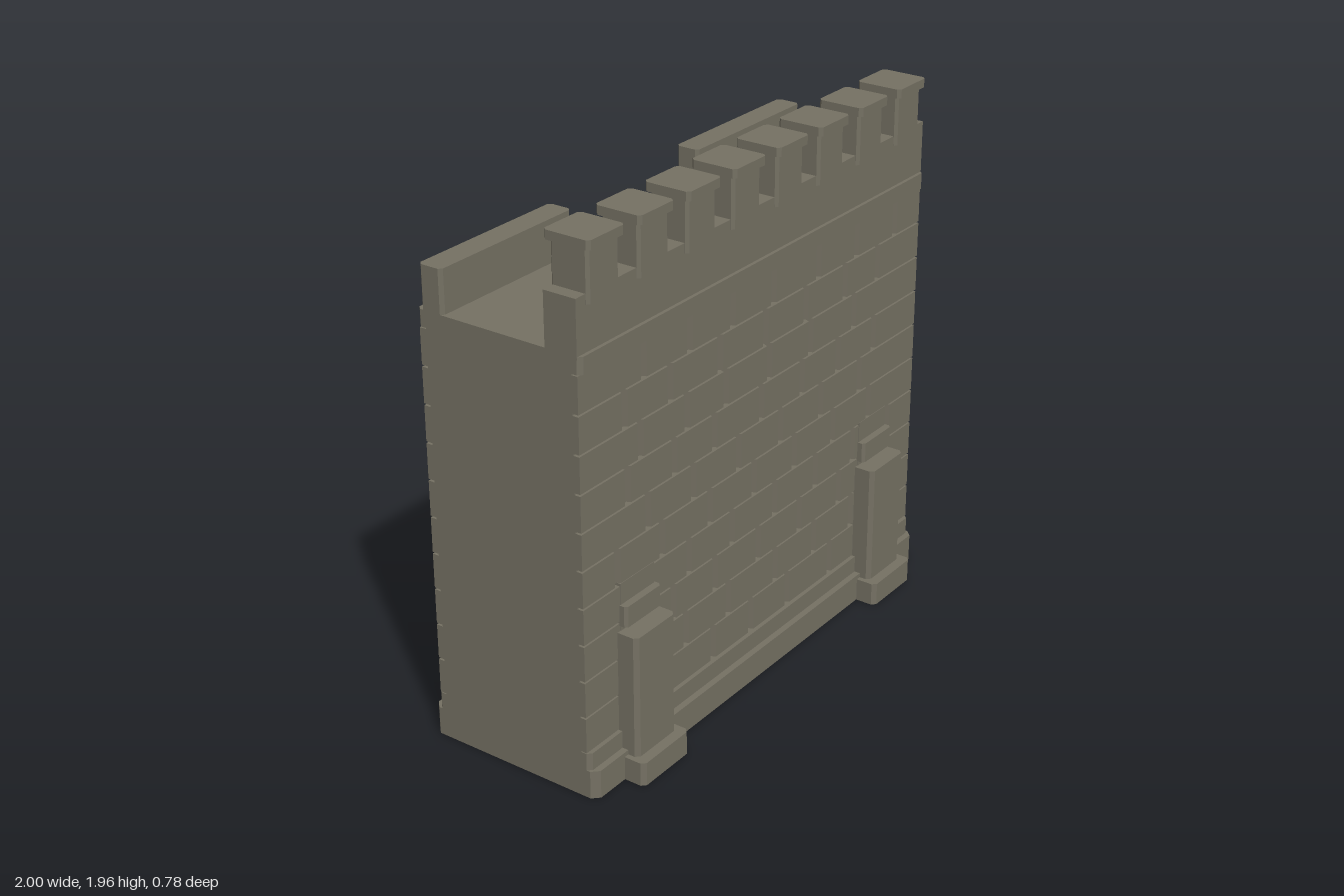
import * as THREE from 'three';

// Vertical prism from a footprint of [x, z] points
function prism(points, y0, y1) {
  const shape = new THREE.Shape(points.map(([x, z]) => new THREE.Vector2(x, -z)));
  const geo = new THREE.ExtrudeGeometry(shape, { depth: y1 - y0, bevelEnabled: false });
  geo.rotateX(-Math.PI / 2);
  geo.translate(0, y0, 0);
  return geo;
}

// Block with its four upright edges cut off by c
function block(x0, x1, y0, y1, z0, z1, c = 0) {
  if (!c) return prism([[x0, z0], [x1, z0], [x1, z1], [x0, z1]], y0, y1);
  return prism([
    [x0 + c, z0], [x1 - c, z0], [x1, z0 + c], [x1, z1 - c],
    [x1 - c, z1], [x0 + c, z1], [x0, z1 - c], [x0, z0 + c],
  ], y0, y1);
}

export function createModel() {
  const stone = new THREE.MeshStandardMaterial({ color: 0x757163 });
  stone.name = 'stone';
  const model = new THREE.Group();
  model.name = 'castleWall';
  const add = (name, geo, parent = model) => {
    const mesh = new THREE.Mesh(geo, stone);
    mesh.name = name;
    parent.add(mesh);
    return mesh;
  };

  // Main mass, plinth and walkway slab
  add('wallCore', block(-1, 1, 0.1, 1.56, -0.329, 0.254));
  add('plinth', block(-1, 1, 0, 0.105, -0.391, 0.314, 0.025));
  add('plinthStep', block(-1, 1, 0.105, 0.17, -0.367, 0.29, 0.015));
  add('walkwaySlab', block(-1, 1, 1.53, 1.59, -0.365, 0.29, 0.015));

  // Brick courses: x positions of the upright joints, bottom row first
  const joints = [
    [-0.78, -0.54, -0.29, -0.06, 0.17, 0.45, 0.7],
    [-0.7, -0.45, -0.2, 0.09, 0.34, 0.59, 0.83],
    [-0.77, -0.52, -0.28, -0.02, 0.24, 0.5, 0.75],
    [-0.67, -0.43, -0.18, 0.08, 0.34, 0.59, 0.83],
    [-0.82, -0.58, -0.31, -0.05, 0.2, 0.45, 0.69],
    [-0.655, -0.405, -0.145, 0.11, 0.365, 0.62],
    [-0.76, -0.51, -0.285, -0.01, 0.24, 0.47, 0.71],
    [-0.69, -0.44, -0.22, 0.035, 0.29, 0.57],
    [-0.77, -0.53, -0.255, 0.01, 0.255, 0.505, 0.72],
    [-0.67, -0.425, -0.185, 0.055, 0.33, 0.575, 0.83],
  ];
  const rowHeight = 0.136;
  const buildBricks = (name, inner, outer) => {
    const group = new THREE.Group();
    group.name = name;
    joints.forEach((row, r) => {
      const y0 = 0.17 + r * rowHeight;
      const edges = [-1, ...row, 1];
      for (let i = 0; i < edges.length - 1; i++) {
        const a = edges[i], b = edges[i + 1];
        const la = i === 0 ? 0 : 1;
        const lb = i === edges.length - 2 ? 0 : 1;
        // Sides slope so the joint is wider at the face
        add('brick', prism([
          [a + la * 0.006, inner - 0.01], [b - lb * 0.006, inner - 0.01],
          [b - lb * 0.006, inner], [b - lb * 0.016, outer],
          [a + la * 0.016, outer], [a + la * 0.006, inner],
        ], y0 + 0.003, y0 + rowHeight - 0.004), group);
      }
    });
    model.add(group);
    return group;
  };
  buildBricks('frontBricks', 0.254, 0.277);
  buildBricks('backBricks', 0.329, 0.355).rotation.y = Math.PI;

  // Front parapet with capped merlons
  add('frontParapet', block(-1, 1, 1.58, 1.78, 0.153, 0.277));
  for (let i = 0; i < 8; i++) {
    const x = (i - 3.5) * 0.25;
    add('merlon', block(x - 0.077, x + 0.077, 1.745, 1.93, 0.142, 0.288, 0.01));
    add('merlonCap', block(x - 0.089, x + 0.089, 1.925, 1.957, 0.127, 0.303, 0.012));
  }

  // Two low rear parapets with an opening between
  add('rearParapetRight', block(-1, -0.355, 1.58, 1.745, -0.348, -0.255, 0.012));
  add('rearParapetLeft', block(0.355, 1, 1.58, 1.745, -0.348, -0.255, 0.012));

  // Stepped buttresses on the front
  for (const side of [-1, 1]) {
    const buttress = new THREE.Group();
    buttress.name = side < 0 ? 'rightButtress' : 'leftButtress';
    const x = side * 0.72;
    add('buttressFoot', block(x - 0.127, x + 0.127, 0, 0.088, 0.24, 0.394, 0.015), buttress);
    add('buttressShaft', block(x - 0.107, x + 0.107, 0.08, 0.545, 0.24, 0.355, 0.015), buttress);
    add('buttressBack', block(x - 0.09, x + 0.09, 0.5, 0.72, 0.24, 0.279), buttress);
    add('buttressCap', block(x - 0.095, x + 0.095, 0.565, 0.642, 0.24, 0.306, 0.01), buttress);
    model.add(buttress);
  }

  return model;
}
